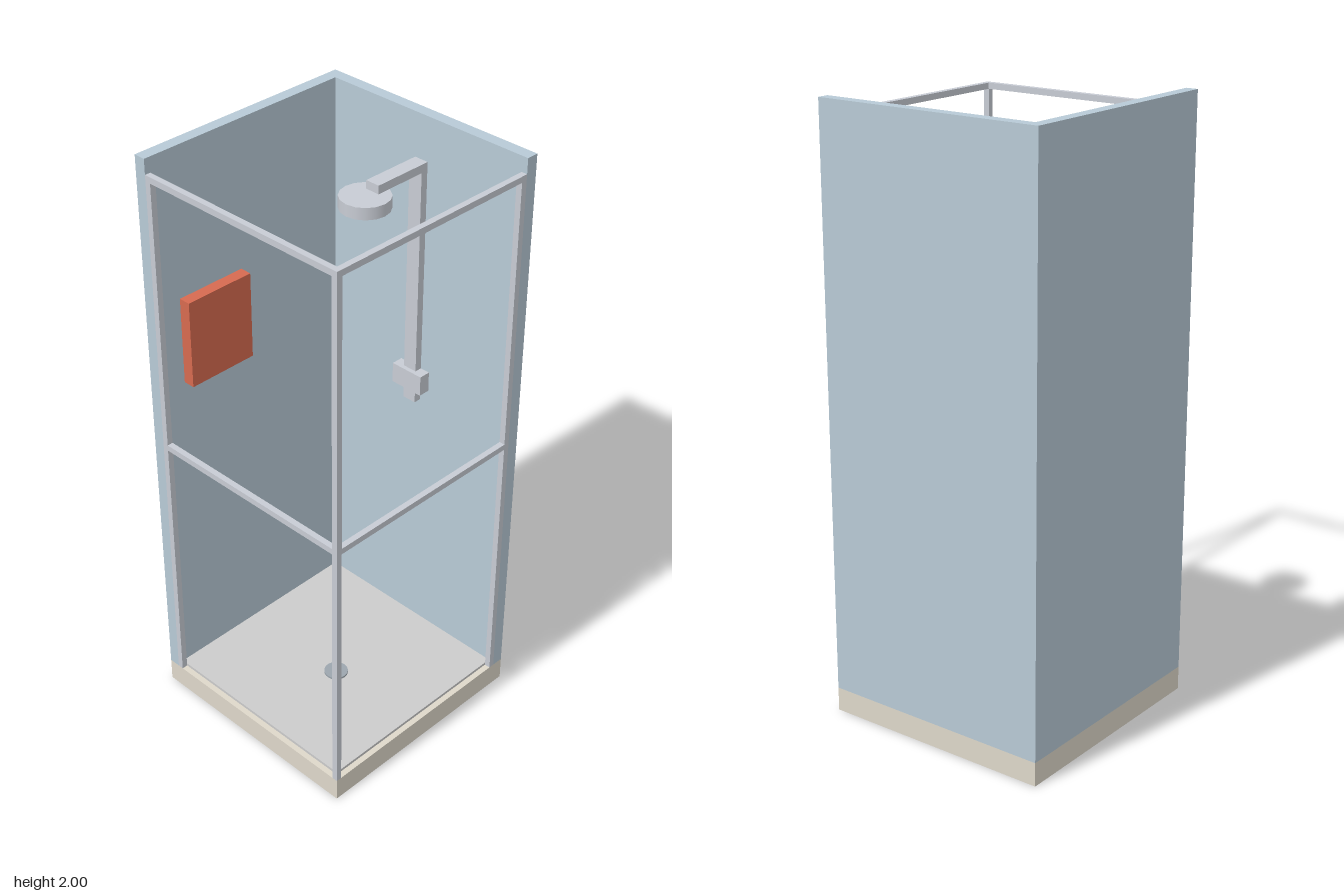
import * as THREE from 'three';

const paint = (color) => new THREE.MeshStandardMaterial({ color });

export function createModel() {
  const shower = new THREE.Group();
  shower.name = 'showerCabin';

  const wallPaint = paint(0xb8cad6);
  const trayPaint = paint(0xded8ca);
  const floorPaint = paint(0xcccccc);
  const metal = paint(0xc8ccd4);
  const drainPaint = paint(0x9ca6ae);
  const shelfPaint = paint(0xd66a50);

  // Box given by its extents along each axis
  function box(name, material, [x0, x1], [y0, y1], [z0, z1], parent = shower) {
    const mesh = new THREE.Mesh(new THREE.BoxGeometry(x1 - x0, y1 - y0, z1 - z0), material);
    mesh.position.set((x0 + x1) / 2, (y0 + y1) / 2, (z0 + z1) / 2);
    mesh.name = name;
    parent.add(mesh);
    return mesh;
  }

  // Upright disc standing on height y
  function disc(name, material, radius, height, sides, x, y, z, parent = shower) {
    const mesh = new THREE.Mesh(new THREE.CylinderGeometry(radius, radius, height, sides), material);
    mesh.position.set(x, y + height / 2, z);
    mesh.name = name;
    parent.add(mesh);
    return mesh;
  }

  // Tray with a raised floor and drain
  box('tray', trayPaint, [-0.4, 0.4], [0, 0.08], [-0.4, 0.4]);
  box('floor', floorPaint, [-0.36, 0.38], [0.08, 0.09], [-0.36, 0.38]);
  disc('drain', drainPaint, 0.04, 0.007, 24, 0.05, 0.09, 0.05);

  // Two solid walls
  box('backWall', wallPaint, [-0.4, 0.4], [0.08, 2], [-0.4, -0.36]);
  box('sideWall', wallPaint, [-0.4, -0.36], [0.08, 2], [-0.36, 0.4]);

  // Open frame along the two other sides
  const frame = new THREE.Group();
  frame.name = 'frame';
  shower.add(frame);
  const posts = { wallPost: [-0.36, 0.38], cornerPost: [0.38, 0.38], backPost: [0.38, -0.36] };
  for (const [name, [x, z]] of Object.entries(posts)) {
    box(name, metal, [x, x + 0.02], [0.08, 1.95], [z, z + 0.02], frame);
  }
  for (const y of [1.0, 1.93]) {
    box('frontRail', metal, [-0.34, 0.38], [y, y + 0.02], [0.38, 0.4], frame);
    box('sideRail', metal, [0.38, 0.4], [y, y + 0.02], [-0.34, 0.38], frame);
  }

  // Shower column, mixer, arm and head
  const fixture = new THREE.Group();
  fixture.name = 'showerFixture';
  shower.add(fixture);
  box('column', metal, [-0.025, 0.025], [1.0, 1.825], [-0.36, -0.335], fixture);
  box('mixer', metal, [-0.06, 0.06], [1.05, 1.12], [-0.36, -0.32], fixture);
  box('arm', metal, [-0.025, 0.025], [1.825, 1.853], [-0.36, -0.15], fixture);
  disc('showerHead', metal, 0.08, 0.04, 16, 0, 1.785, -0.12, fixture);

  // Panel hung on the side wall
  box('wallPanel', shelfPaint, [-0.36, -0.32], [1.2, 1.5], [0.05, 0.3]);

  return shower;
}
